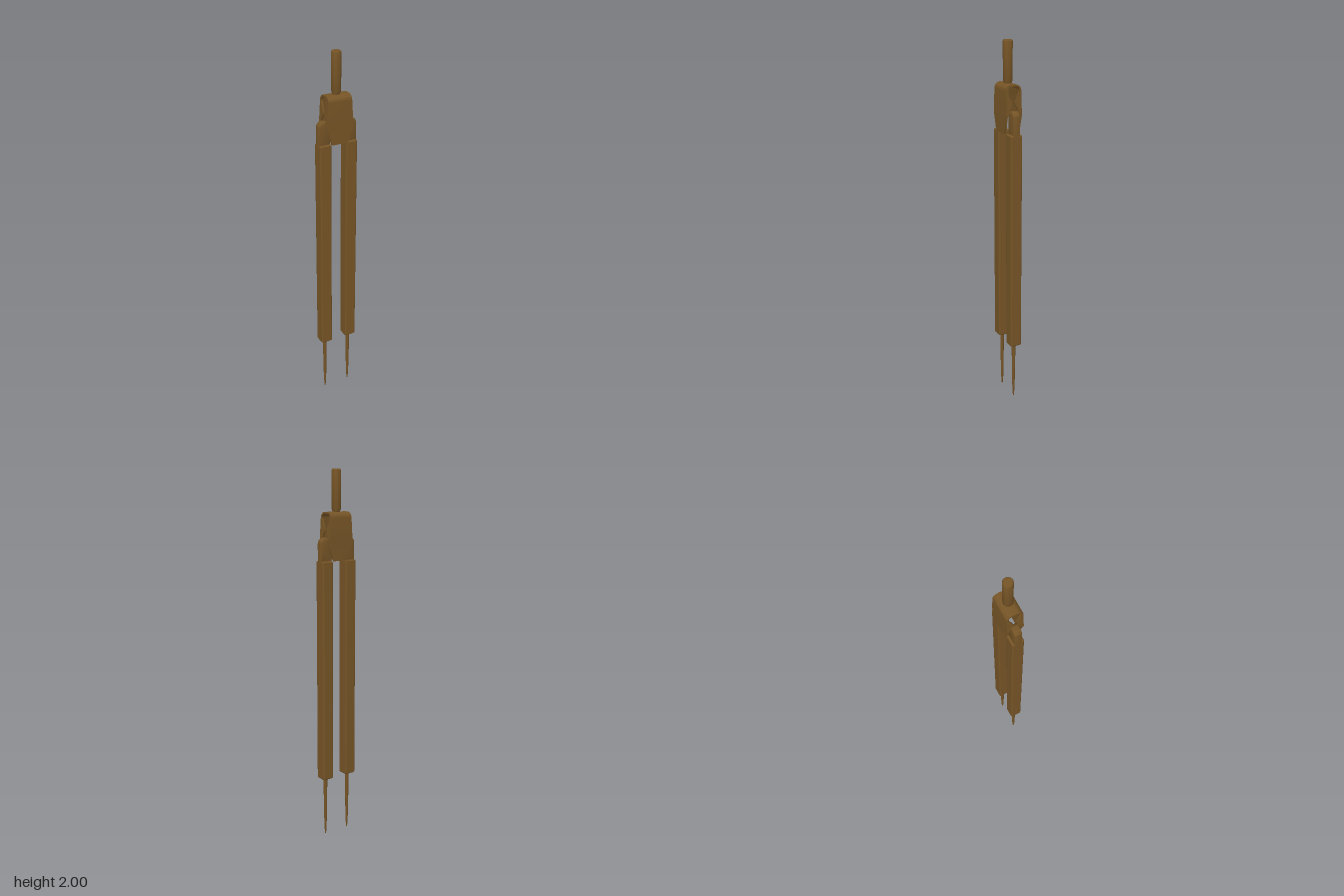
import * as THREE from 'three';
import { toCreasedNormals } from 'three/addons/utils/BufferGeometryUtils.js';
import { RoundedBoxGeometry } from 'three/addons/geometries/RoundedBoxGeometry.js';

const ZC = -0.0015;
const BOTTOM = 1.535, WIDEST = 1.63, TOP = 1.785;

// Half width of the clamp at a height: narrow top, wide middle, tapered bottom
function clampHalfWidth(y) {
  return y > WIDEST
    ? THREE.MathUtils.mapLinear(y, WIDEST, TOP, 0.075, 0.065)
    : THREE.MathUtils.mapLinear(y, BOTTOM, WIDEST, 0.047, 0.075);
}

// Extrude a (z, y) profile along x between fractions f0 and f1 of the clamp width
function clampPart(shape, f0, f1) {
  const g = new THREE.ExtrudeGeometry(shape, { depth: 1, bevelEnabled: false, curveSegments: 8 });
  g.rotateY(Math.PI / 2);
  const p = g.attributes.position;
  for (let i = 0; i < p.count; i++) {
    p.setX(i, THREE.MathUtils.lerp(f0, f1, p.getX(i)) * clampHalfWidth(p.getY(i)));
  }
  return toCreasedNormals(g, 0.6);
}

export function createModel() {
  const model = new THREE.Group();
  const brass = new THREE.MeshStandardMaterial({ color: 0x755426 });
  brass.name = 'agedBrass';

  function add(name, geometry, parent = model) {
    const mesh = new THREE.Mesh(geometry, brass);
    mesh.name = name;
    parent.add(mesh);
    return mesh;
  }

  function lathe(points) {
    const g = new THREE.LatheGeometry(points.map(([r, y]) => new THREE.Vector2(r, y)), 24);
    return toCreasedNormals(g, 0.6);
  }

  // Grip on top
  add('handle', lathe([[0, 1.775], [0.019, 1.775], [0.019, 1.785], [0.025, 1.8],
    [0.025, 1.994], [0.021, 2], [0, 2]])).position.z = ZC;

  // Folded clamp: an upside-down U of sheet metal
  const W = 0.0435, T = 0.009, R = 0.03;
  const u = new THREE.Shape();
  u.moveTo(-W, BOTTOM);
  u.lineTo(-W, WIDEST);
  u.absarc(-W + R, TOP - R, R, Math.PI, Math.PI / 2, true);
  u.absarc(W - R, TOP - R, R, Math.PI / 2, 0, true);
  u.lineTo(W, WIDEST);
  u.lineTo(W, BOTTOM);
  u.lineTo(W - T, BOTTOM);
  u.lineTo(W - T, WIDEST);
  u.absarc(W - R, TOP - R, R - T, 0, Math.PI / 2, false);
  u.absarc(-W + R, TOP - R, R - T, Math.PI / 2, Math.PI, false);
  u.lineTo(-W + T, WIDEST);
  u.lineTo(-W + T, BOTTOM);
  add('clamp', clampPart(u, -1, 1)).position.z = ZC;

  // Inward pointing ears along both side edges of the clamp
  for (const sz of [-1, 1]) {
    const ear = new THREE.Shape([[W - 0.002, 1.755], [W - T, 1.75], [0.011, 1.7],
      [0.009, 1.69], [0.012, 1.68], [W - T, 1.63], [W - 0.002, 1.63]]
      .map(([z, y]) => new THREE.Vector2(sz * z, y)));
    for (const [f0, f1] of [[-0.98, -0.86], [0.86, 0.98]]) {
      add('clampEar', clampPart(ear, f0, f1)).position.z = ZC;
    }
  }

  // Two legs, each with a rounded hinge tab and a needle
  for (const side of [-1, 1]) {
    const leg = new THREE.Group();
    leg.name = side > 0 ? 'leftLeg' : 'rightLeg';
    leg.position.set(side * 0.075, 0, ZC);
    model.add(leg);

    add('legBar', new RoundedBoxGeometry(0.065, 1.2, 0.065, 3, 0.008), leg).position.y = 0.935;

    const tab = new THREE.Shape();
    tab.moveTo(-0.027, 1.52);
    tab.lineTo(0.027, 1.52);
    tab.absarc(0, 1.623, 0.027, 0, Math.PI, false);
    const tabGeometry = new THREE.ExtrudeGeometry(tab, {
      depth: 0.028, bevelThickness: 0.006, bevelSize: 0.005, bevelSegments: 2, curveSegments: 16,
    });
    tabGeometry.translate(0, 0, -0.014);
    add('hingeTab', toCreasedNormals(tabGeometry, 0.7), leg);

    add('needle', lathe([[0, 0], [0.003, 0.004], [0.006, 0.045], [0.008, 0.12],
      [0.011, 0.34], [0, 0.34]]), leg);
  }

  return model;
}
